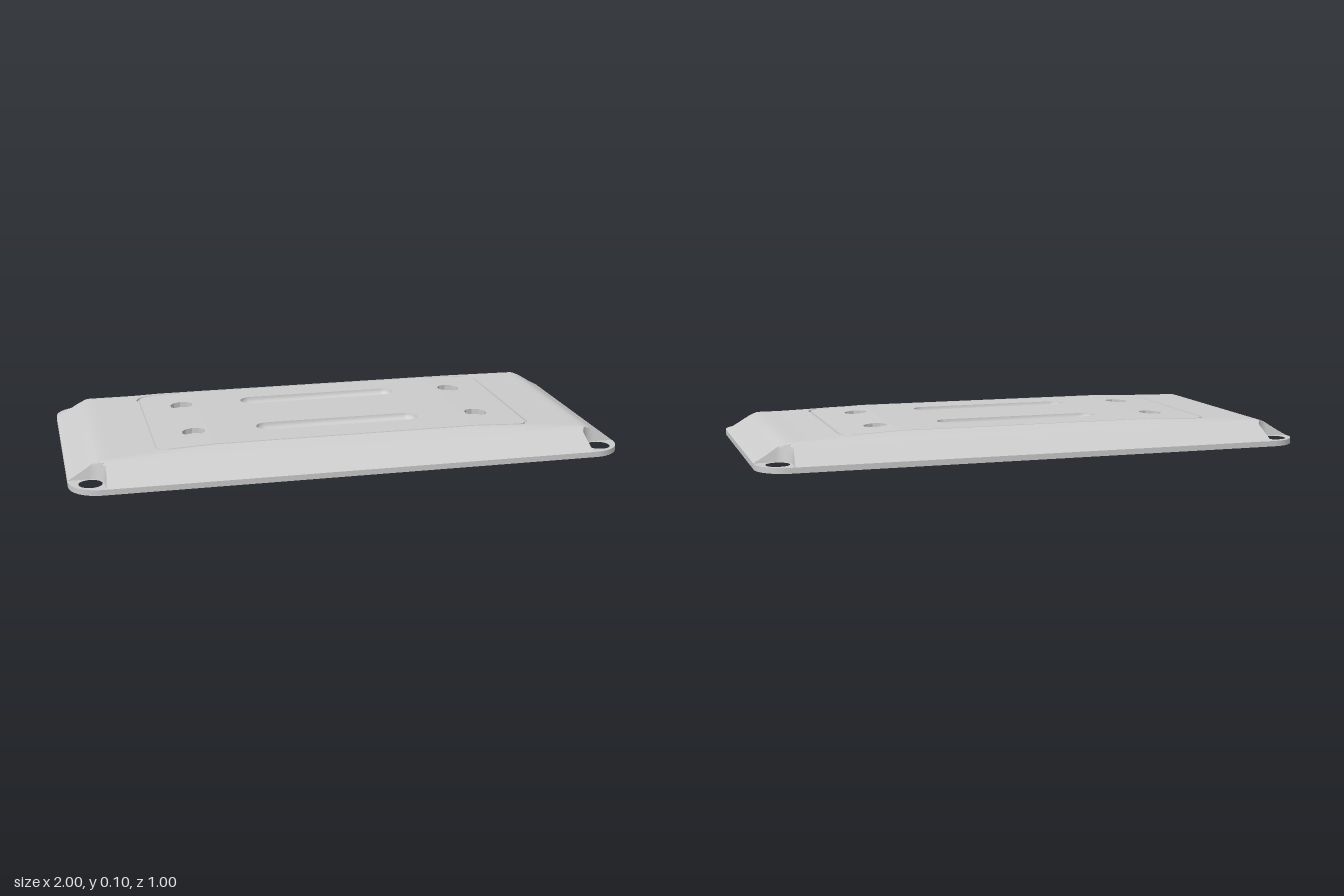
import * as THREE from 'three';
import { toCreasedNormals } from 'three/addons/utils/BufferGeometryUtils.js';

const BREAK = 0.48; // the crown is flat inside this x and slopes beyond it
const crown = (x) => 0.1 - 0.0425 * Math.max(0, Math.abs(x) - BREAK);
const HOLE = { x: 0.925, z: 0.43, r: 0.041 };
const STEPS = 10;

const material = new THREE.MeshStandardMaterial({ color: 0xcccccc });

function addMesh(group, name, geometry) {
  const mesh = new THREE.Mesh(geometry, material);
  mesh.name = name;
  group.add(mesh);
}

// Closed loop from one quarter, mirrored to all four. A corner is convex with
// radius r, or (bite = true) scooped out by a circle around the screw hole.
function ring(X, Z, r, bite = false) {
  const q = [[X, 0]];
  if (bite) q.push([X, Math.min(Z, HOLE.z - r)]);
  for (let i = 0; i <= STEPS; i++) {
    const a = (i / STEPS) * Math.PI / 2;
    if (bite) {
      q.push([Math.min(X, HOLE.x - r * Math.sin(a)), Math.min(Z, HOLE.z - r * Math.cos(a))]);
    } else {
      if (i === 0) q.push([X, Z - r]);
      q.push([X - r + r * Math.cos(a), Z - r + r * Math.sin(a)]);
    }
  }
  if (bite) q.push([Math.min(X, HOLE.x - r), Z]);
  else q.push([X - r, Z]);
  for (const x of [0.6, BREAK, 0.24, 0]) q.push([x, Z]);
  const back = [...q].reverse();
  return [
    ...q,
    ...back.slice(1).map(([x, z]) => [-x, z]),
    ...q.slice(1).map(([x, z]) => [-x, -z]),
    ...back.slice(1).map(([x, z]) => [x, -z]),
  ];
}

// Rounded slot outline; half = 0 gives a round hole
function capsule(cx, cz, half, r, n) {
  const pts = [];
  for (const side of [0, 1]) {
    for (let i = 0; i <= n; i++) {
      const a = -Math.PI / 2 + side * Math.PI + (i / n) * Math.PI;
      pts.push([cx + (side ? -half : half) + r * Math.cos(a), cz + r * Math.sin(a)]);
    }
  }
  pts.push(pts[0]);
  return pts;
}

// Skin between successive loops of [x, y, z], listed from outside to inside
function loft(loops, crease) {
  const n = loops[0].length;
  const index = [];
  for (let k = 0; k < loops.length - 1; k++) {
    for (let i = 0; i < n - 1; i++) {
      const a = k * n + i, b = a + n;
      index.push(a, b, a + 1, a + 1, b, b + 1);
    }
  }
  const geo = new THREE.BufferGeometry();
  geo.setAttribute('position', new THREE.Float32BufferAttribute(loops.flat(2), 3));
  geo.setIndex(index);
  return toCreasedNormals(geo, crease);
}

const toPath = (pts, Type) => new Type(pts.map(([x, z]) => new THREE.Vector2(x, -z)));

// Part of the raised panel with its cut-outs, laid onto the crown
function panelPiece(outline, holes) {
  const shape = toPath(outline, THREE.Shape);
  shape.holes = holes.map((h) => toPath(h.slice(0, -1), THREE.Path));
  const geo = new THREE.ShapeGeometry(shape).rotateX(-Math.PI / 2);
  const p = geo.attributes.position;
  for (let i = 0; i < p.count; i++) p.setY(i, crown(p.getX(i)));
  geo.computeVertexNormals();
  return geo;
}

export function createModel() {
  const group = new THREE.Group();
  group.name = 'coverPlate';

  // Thin base flange with four screw holes
  const base = toPath(ring(1, 0.5, 0.11).slice(0, -1), THREE.Shape);
  for (const sx of [1, -1]) for (const sz of [1, -1]) {
    const hole = new THREE.Path();
    hole.absarc(sx * HOLE.x, sz * HOLE.z, HOLE.r, 0, Math.PI * 2, true);
    base.holes.push(hole);
  }
  const flange = new THREE.ExtrudeGeometry(base, { depth: 0.02, bevelEnabled: false, curveSegments: 16 });
  addMesh(group, 'baseFlange', toCreasedNormals(flange.rotateX(-Math.PI / 2), 0.6));

  // Sloped cover: half width, half depth, height of each level
  const levels = [
    [1, 0.5, 0.02], [0.975, 0.477, 0.034], [0.95, 0.452, 0.049], [0.928, 0.428, 0.063],
    [0.91, 0.408, 0.074], [0.895, 0.396, 0.08], [0.88, 0.385, 0.084],
  ];
  const loops = levels.map(([X, Z, y]) =>
    ring(X, Z, 0.048 + 0.16 * (y - 0.02), true).map(([x, z]) => [x, y, z]));
  const upper = [[0.85, 0.368, 0.03, 0.092], [0.8, 0.352, 0.04, 0.097], [0.694, 0.341, 0.05, 0.1]];
  for (const [X, Z, r, top] of upper) {
    loops.push(ring(X, Z, r).map(([x, z]) => [x, Math.min(top, crown(x)), z]));
  }
  addMesh(group, 'slopedCover', loft(loops, 0.5));

  // Narrow groove around the panel
  const groove = [[0, 0], [0.002, 0.007], [0.008, 0.007], [0.01, 0]].map(([inset, depth]) =>
    ring(0.694 - inset, 0.341 - inset, 0.05 - inset).map(([x, z]) => [x, crown(x) - depth, z]));
  addMesh(group, 'panelGroove', loft(groove, 0.5));

  // Blind slots with rounded floors, and blind round holes
  const slots = [], dimples = [];
  for (const sz of [1, -1]) {
    const cz = sz * 0.17;
    const slot = (r) => capsule(0, cz, 0.263, r, 8);
    slots.push(slot(0.042));
    const sections = [0, 1, 2, 3, 4, 5, 6].map((i) => {
      const a = (i / 6) * Math.PI / 2;
      return slot(0.042 * Math.cos(a)).map(([x, z]) => [x, 0.1 - 0.03 * Math.sin(a), z]);
    });
    addMesh(group, 'roundedSlot', loft(sections, 0.6));

    for (const sx of [1, -1]) {
      const round = (r) => capsule(sx * 0.535, cz, 0, r, 5);
      dimples.push({ sx, outline: round(0.043) });
      const walls = [[0.043, 0], [0.043, 0.02], [0, 0.02]].map(([r, depth]) =>
        round(r).map(([x, z]) => [x, crown(x) - depth, z]));
      addMesh(group, 'blindHole', loft(walls, 0.5));
    }
  }

  // Panel: flat middle and two gently sloping ends
  const edge = ring(0.684, 0.331, 0.04).slice(0, -1);
  addMesh(group, 'panelMiddle', panelPiece(edge.filter(([x]) => Math.abs(x) <= BREAK), slots));
  for (const sx of [1, -1]) {
    const holes = dimples.filter((d) => d.sx === sx).map((d) => d.outline);
    addMesh(group, 'panelEnd', panelPiece(edge.filter(([x]) => x * sx >= BREAK), holes));
  }
  return group;
}
